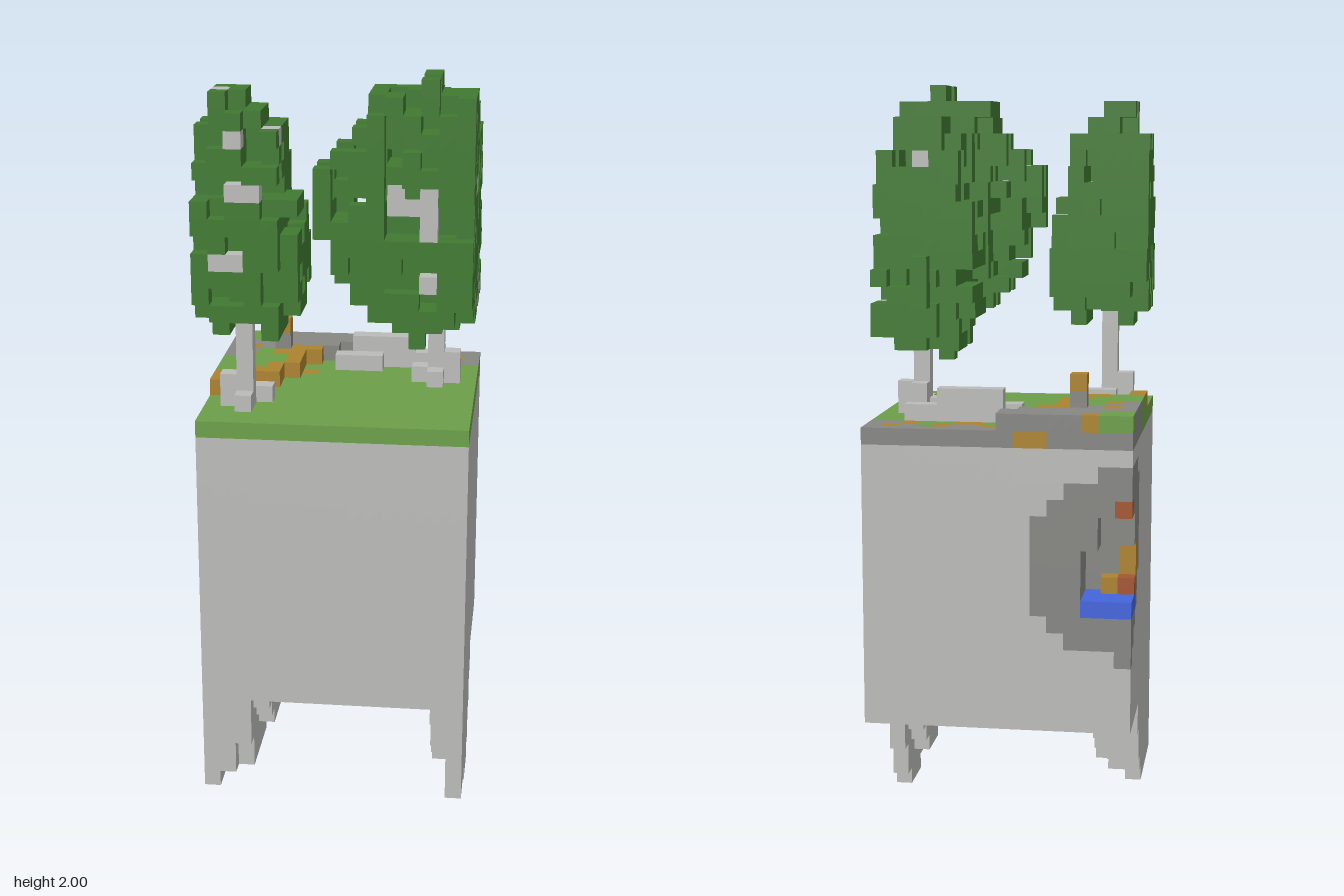
import * as THREE from 'three';

const V = 2 / 45, N = 16; // cube edge, cubes per side
const mat = (name, color) => Object.assign(new THREE.MeshStandardMaterial({ color }), { name });

export function createModel() {
  const M = {
    stone: mat('light stone', 0xbbbbb9), dark: mat('dark stone', 0x868683),
    grass: mat('grass green', 0x6c9f48), dirt: mat('ochre dirt', 0xac832f),
    leaf: mat('leaf green', 0x407a31), water: mat('water blue', 0x4465dc),
    clay: mat('red clay', 0xa35632),
  };
  const cells = new Map();
  const key = (i, j, k) => (j * 64 + k + 8) * 64 + i + 8;
  const put = (i, j, k, part, colour) => cells.set(key(i, j, k), { i, j, k, part, colour });
  const each = (i0, i1, j0, j1, k0, k1, fn) => {
    for (let i = i0; i <= i1; i++) for (let j = j0; j <= j1; j++)
      for (let k = k0; k <= k1; k++) fn(i, j, k);
  };
  const box = (i0, i1, j0, j1, k0, k1, part, colour) =>
    each(i0, i1, j0, j1, k0, k1, (i, j, k) => put(i, j, k, part, colour));
  const clear = (...range) => each(...range, (i, j, k) => cells.delete(key(i, j, k)));
  let seed = 7;
  const rnd = () => (seed = (seed * 16807) % 2147483647) / 2147483647;

  // Rock block with a dark patch of stone around the cave corner
  each(0, 15, 7, 23, 0, 15, (i, j, k) => {
    const d = ((i + 0.5) / 6.3) ** 2 + ((k + 0.5) / 5.3) ** 2 + ((j - 16.7 - 0.4 * k) / 5.8) ** 2;
    put(i, j, k, 'rockBlock', d < 1 ? 'dark' : 'stone');
  });

  // Ragged hanging rock at the two front lower corners, lowest midway along the side
  const rightZ = [7, 7, 7, 7, 7, 7, 5, 3, 1, 0, 0, 0, 1, 1, 1, 1];
  const leftZ = [7, 7, 7, 7, 7, 7, 5, 3, 2, 1, 1, 1, 1, 1, 1, 1];
  const inner = [7, 7, 7, 7, 7, 7, 6, 5, 4, 3, 2, 2, 2, 3, 4, 6]; // second column in
  for (let k = 0; k < N; k++) {
    const columns = {
      15: rightZ[k], 14: inner[k],
      0: leftZ[k], 1: Math.max(2, leftZ[k]), 2: Math.max(2, inner[k] - (k > 12 ? 2 : 0)),
      3: Math.min(7, inner[k] + 2),
    };
    for (const [i, bottom] of Object.entries(columns))
      for (let j = bottom; j < 7; j++) put(+i, j, k, 'hangingRock', 'stone');
  }

  // Cave with water, clay and ochre pockets
  for (let i = 0; i < 3; i++) for (let k = 0; k < 3; k++) {
    clear(i, i, 15, Math.max(i, k) === 2 ? 17 : i + k > 0 ? 19 : 20, k, k);
    put(i, 14, k, 'cavePool', 'water');
  }
  put(0, 20, 0, 'caveClay', 'clay');
  put(0, 15, 2, 'caveClay', 'clay');
  box(0, 0, 16, 17, 3, 3, 'caveOchre', 'dirt');
  put(1, 15, 2, 'caveOchre', 'dirt');

  // Ground layer, with a raised terrace in the back corner
  const ground = [
    'GGDSSSSSSSSSSSSS', 'GGSSSSSSDSSDGSDS', 'SSSSSSSSGDDGGDSS', 'SDSDDDGG',
    'SSGDDG', 'SDGGDD', 'GGGGDG', 'GGGDGG', 'GGDDGG', 'D', 'D',
  ];
  const terrace = [8, 8, 7, 6, 5, 5, 5, 4, 4, 1, 1];
  const code = { G: 'grass', D: 'dirt', S: 'dark' };
  for (let k = 0; k < N; k++) for (let i = 0; i < N; i++) {
    const colour = code[(ground[k] || '')[i] || 'G'];
    const raised = i < (terrace[k] || 0);
    put(i, 24, k, 'ground', raised && k < 6 ? 'dark' : raised ? 'grass' : colour);
    if (raised) put(i, 25, k, 'terrace', colour);
  }
  box(5, 6, 24, 24, 0, 0, 'ground', 'dirt');

  // Post and stone steps
  put(3, 26, 3, 'post', 'dark');
  put(3, 27, 3, 'post', 'dirt');
  box(8, 11, 25, 26, 3, 3, 'steps', 'stone');
  box(12, 13, 25, 25, 3, 3, 'steps', 'stone');
  box(7, 9, 25, 25, 4, 4, 'steps', 'stone');

  // Foliage: front and side height limits per column, thinned toward the rim,
  // with an open lane between the crowns
  const laneEnd = [0, 0, 0, 12, 10, 10, 10, 10, 10, 11, 10, 8, 8, 7, 7, 7];
  const foliage = (name, i0, front, k0, side, ci, ck, radius) => {
    front.forEach(([fa, fb], a) => side.forEach(([sa, sb], b) => {
      const i = i0 + a, k = k0 + b, lo = Math.max(fa, sa), hi = Math.min(fb, sb);
      if (i >= (k === 15 ? 5 : 6) && i < laneEnd[k]) return;
      const mid = Math.floor((lo + hi - 1) / 2), half = (hi - lo) / 2 + 0.5;
      for (let j = lo; j < hi; j++) {
        const r = Math.hypot((i - ci) / radius, (k - ck) / radius, 0.75 * (j - mid) / half);
        if (j === mid || rnd() > 0.17 + 0.42 * Math.min(1, r ** 3)) put(i, j, k, name, 'leaf');
      }
    }));
  };
  foliage('leftTreeLeaves', 0, [[31, 42], [30, 44], [31, 44], [31, 43], [30, 42], [31, 38]],
    9, [[32, 36], [32, 41], [31, 43], [30, 44], [30, 44], [30, 44], [30, 42]], 2.3, 12.3, 4.6);
  foliage('backTreeLeaves', 10, [[31, 38], [29, 42], [28, 43], [29, 43], [29, 43], [30, 41]],
    3, [[30, 34], [31, 39], [29, 43], [29, 43], [29, 43], [29, 41], [28, 36], [30, 36]], 13, 6.5, 4.5);
  foliage('frontTreeLeaves', 7, [[36, 40], [33, 41], [32, 42], [31, 44], [31, 44], [31, 44],
    [31, 45], [30, 45], [30, 45]], 10, [[33, 43], [32, 44], [31, 45], [31, 45], [31, 45], [31, 45]], 12.5, 13.5, 5);
  box(12, 12, 32, 34, 0, 0, 'looseLeaves', 'leaf');

  // Hollows in the front crown
  clear(11, 12, 36, 38, 14, 15);
  clear(14, 15, 36, 37, 15, 15);

  // Trunks with root flares
  box(2, 2, 25, 41, 12, 12, 'leftTrunk', 'stone');
  box(1, 1, 25, 26, 12, 12, 'leftTrunk', 'stone');
  box(2, 2, 25, 25, 11, 13, 'leftTrunk', 'stone');
  put(3, 25, 11, 'leftTrunk', 'stone');
  box(13, 13, 25, 40, 6, 6, 'backTrunk', 'stone');
  box(12, 12, 25, 25, 6, 6, 'backTrunk', 'stone');
  box(14, 14, 25, 26, 6, 6, 'backTrunk', 'stone');
  box(13, 13, 25, 26, 5, 5, 'backTrunk', 'stone');
  box(13, 13, 25, 25, 7, 7, 'backTrunk', 'stone');

  // Branch ends showing through the leaves
  const branches = [[1, 34, 15], [2, 34, 15], [2, 38, 15], [3, 38, 15], [2, 41, 15], [1, 43, 13],
    [4, 41, 14], [11, 38, 13], [11, 37, 13], [12, 37, 13], [13, 36, 15], [13, 37, 15], [13, 38, 15],
    [13, 33, 15], [13, 31, 4], [15, 38, 12], [15, 38, 11], [15, 30, 8], [15, 30, 5], [15, 31, 6]];
  for (const [i, j, k] of branches) put(i, j, k, 'branches', 'stone');
  for (const [i, j, k] of [[2, 42, 15], [4, 41, 15], [13, 39, 15]]) put(i, j, k, 'branchLeaves', 'leaf');

  // Turn the exposed cube faces into one mesh per part and colour
  const faces = [0, 1, 2].flatMap((axis) => [1, -1].map((s) => {
    const n = [0, 0, 0], u = [0, 0, 0], v = [0, 0, 0];
    n[axis] = s;
    u[(axis + 1) % 3] = s;
    v[(axis + 2) % 3] = 1;
    const corners = [[-1, -1], [1, -1], [1, 1], [-1, 1]].map(([a, b]) =>
      n.map((c, q) => (c + a * u[q] + b * v[q]) / 2));
    return { n, corners };
  }));
  const buckets = new Map();
  for (const { i, j, k, part, colour } of cells.values()) {
    const id = part + '|' + colour;
    if (!buckets.has(id)) buckets.set(id, { part, colour, pos: [], nor: [] });
    const b = buckets.get(id);
    for (const { n, corners } of faces) {
      if (cells.has(key(i + n[0], j + n[1], k + n[2]))) continue;
      for (const c of [0, 1, 2, 0, 2, 3]) {
        const p = corners[c];
        b.pos.push((i + 0.5 - N / 2 + p[0]) * V, (j + 0.5 + p[1]) * V, (k + 0.5 - N / 2 + p[2]) * V);
        b.nor.push(...n);
      }
    }
  }
  const group = new THREE.Group();
  group.name = 'floatingGrove';
  for (const { part, colour, pos, nor } of buckets.values()) {
    if (!pos.length) continue;
    const g = new THREE.BufferGeometry();
    g.setAttribute('position', new THREE.Float32BufferAttribute(pos, 3));
    g.setAttribute('normal', new THREE.Float32BufferAttribute(nor, 3));
    const mesh = new THREE.Mesh(g, M[colour]);
    mesh.name = part;
    group.add(mesh);
  }
  return group;
}
